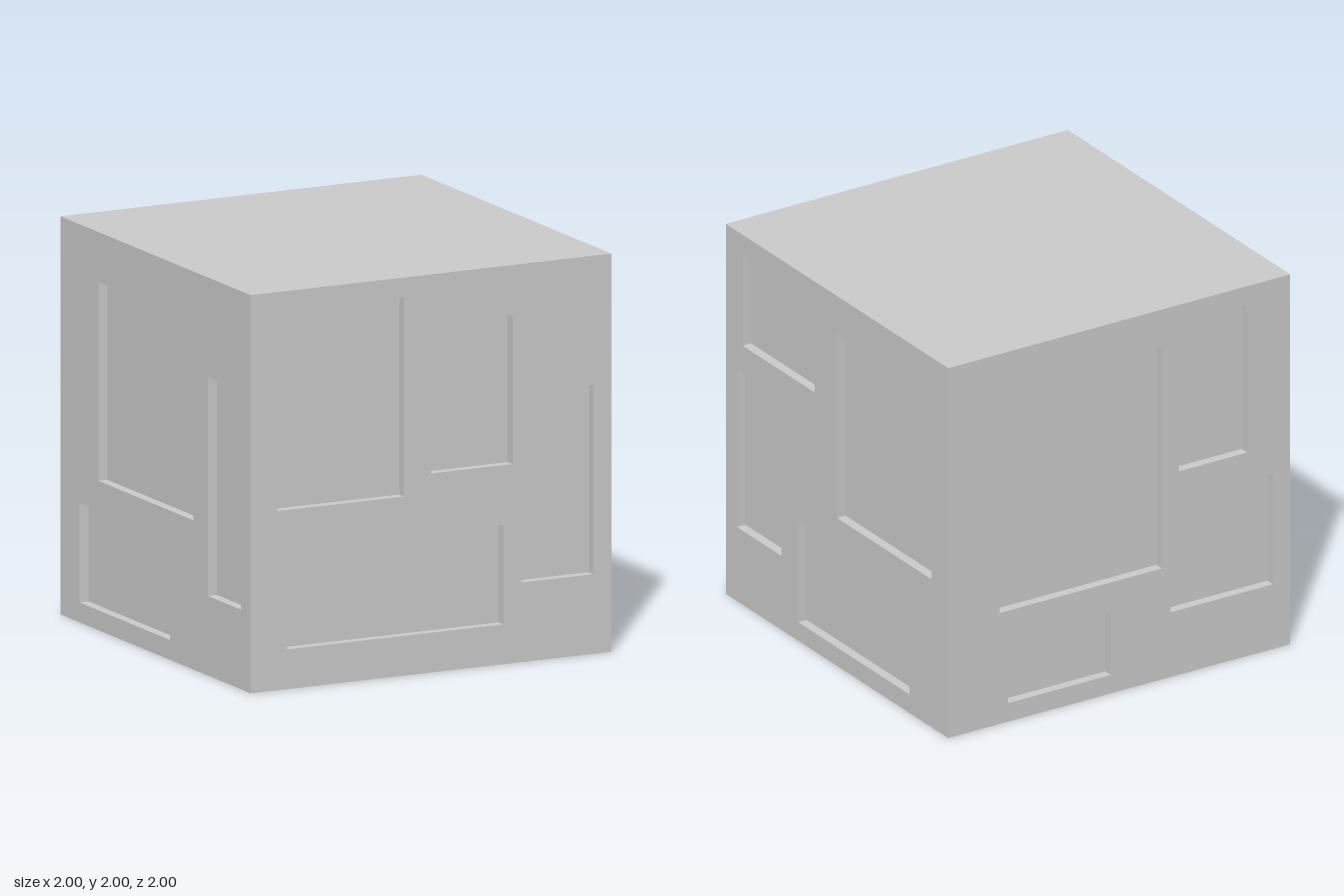
import * as THREE from 'three';

const material = new THREE.MeshStandardMaterial({ color: 0xcccccc });
const DEPTH = 0.05;

// Recessed rectangles per wall: [left, bottom, right, top], seen facing the wall
const WALLS = [
  { name: 'frontWall', turn: 0, panels: [
    [-0.85, 0.9, -0.15, 1.9], [0, 1, 0.45, 1.75], [0.5, 0.4, 0.9, 1.35], [-0.8, 0.2, 0.4, 0.7]] },
  { name: 'leftWall', turn: Math.PI / 2, panels: [
    [-0.85, 1.4, -0.2, 1.9], [0, 0.8, 0.85, 1.8], [-0.9, 0.4, -0.5, 1.25], [-0.35, 0.1, 0.65, 0.65]] },
  { name: 'backWall', turn: Math.PI, panels: [
    [-0.7, 0.6, 0.25, 1.8], [0.35, 1.1, 0.75, 1.9], [0.3, 0.35, 0.9, 0.95], [-0.65, 0.1, -0.05, 0.45]] },
  { name: 'rightWall', turn: -Math.PI / 2, panels: [
    [-0.6, 0.75, 0.4, 1.75], [0.55, 0.4, 0.9, 1.5], [-0.8, 0.1, 0.15, 0.6]] },
];

function addMesh(parent, name, geometry) {
  const mesh = new THREE.Mesh(geometry, material);
  mesh.name = name;
  parent.add(mesh);
  return mesh;
}

function trace(path, [l, b, r, t]) {
  path.moveTo(l, b).lineTo(r, b).lineTo(r, t).lineTo(l, t).closePath();
  return path;
}

// Inward-facing box without its front side
function recessGeometry([l, b, r, t]) {
  const geometry = new THREE.BoxGeometry(r - l, t - b, DEPTH);
  const index = Array.from(geometry.index.array);
  index.splice(24, 6);
  geometry.setIndex(index);
  geometry.clearGroups();
  geometry.scale(-1, 1, 1); // mirroring turns the faces inward
  geometry.computeVertexNormals();
  return geometry.translate((l + r) / 2, (b + t) / 2, 1 - DEPTH / 2);
}

export function createModel() {
  const model = new THREE.Group();
  model.name = 'panelledCube';

  // Four walls, each a pierced face with sunken panels behind it
  for (const { name, turn, panels } of WALLS) {
    const wall = new THREE.Group();
    wall.name = name;
    wall.rotation.y = turn;
    const shape = trace(new THREE.Shape(), [-1, 0, 1, 2]);
    shape.holes = panels.map((p) => trace(new THREE.Path(), p));
    addMesh(wall, 'wallFace', new THREE.ShapeGeometry(shape).translate(0, 0, 1));
    panels.forEach((p, i) => addMesh(wall, `recessedPanel${i + 1}`, recessGeometry(p)));
    model.add(wall);
  }

  // Plain top and bottom
  const top = addMesh(model, 'topFace', new THREE.PlaneGeometry(2, 2));
  top.rotation.x = -Math.PI / 2;
  top.position.y = 2;
  const bottom = addMesh(model, 'bottomFace', new THREE.PlaneGeometry(2, 2));
  bottom.rotation.x = Math.PI / 2;

  return model;
}
